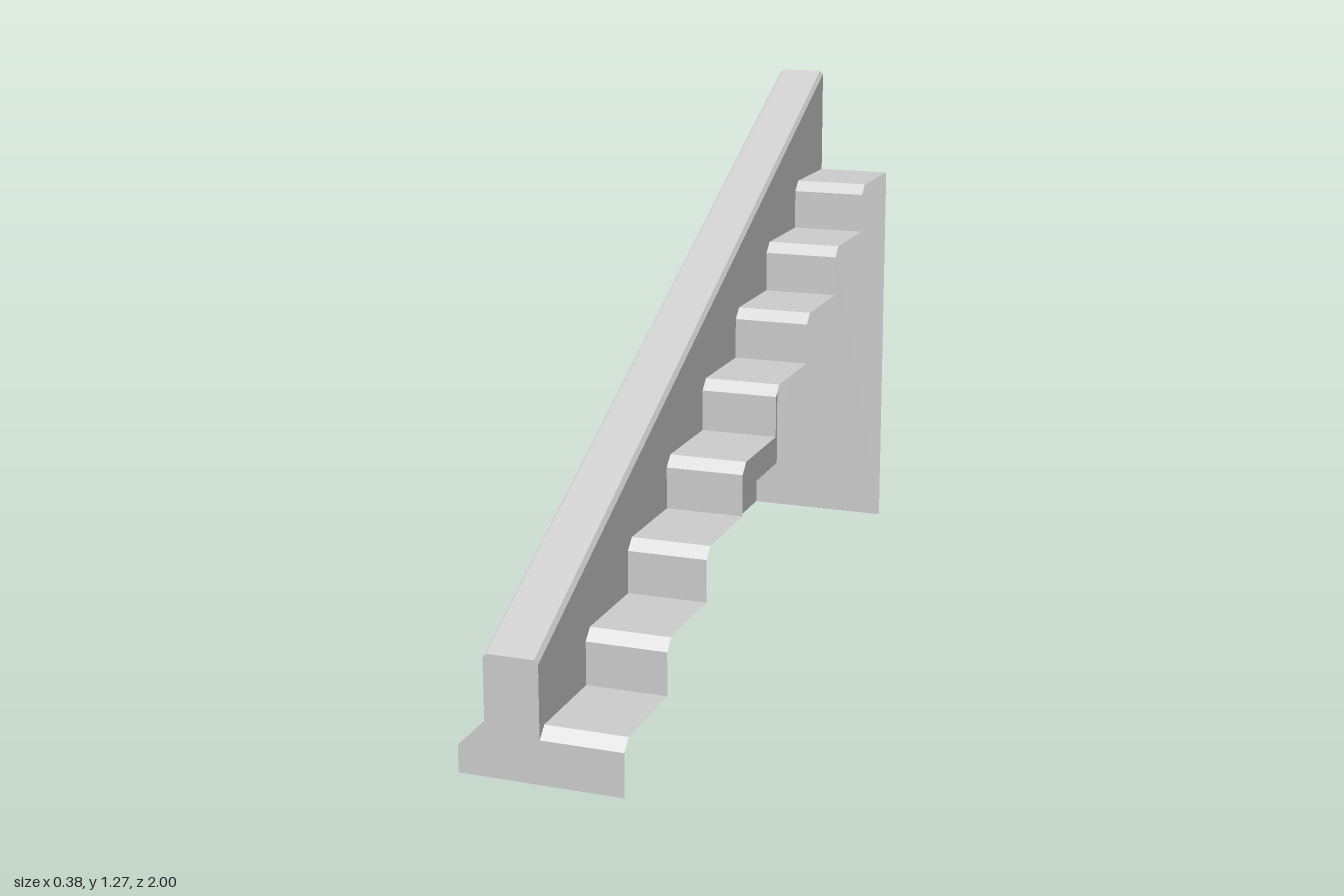
import * as THREE from 'three';

const material = new THREE.MeshStandardMaterial({ color: 0xcccccc, flatShading: true, side: THREE.DoubleSide });

const LEFT = -0.1875, WALL = -0.125, RIGHT = 0.1875;
const STEPS = 8, RUN = 0.25, RISE = 0.125, NOSE = 0.025;

function part(name, geometry) {
  const mesh = new THREE.Mesh(geometry, material);
  mesh.name = name;
  return mesh;
}

// Skin a list of cross-sections (each a list of [x, y, z]) with flat quads
function loft(rings, closed = false) {
  const pos = [];
  const n = rings[0].length;
  for (let i = 0; i < rings.length - 1; i++) {
    for (let j = 0; j < (closed ? n : n - 1); j++) {
      const k = (j + 1) % n;
      const a = rings[i][j], b = rings[i][k], c = rings[i + 1][j], d = rings[i + 1][k];
      pos.push(...a, ...b, ...c);
      if (c.some((v, m) => v !== d[m])) pos.push(...b, ...d, ...c);
    }
  }
  const geometry = new THREE.BufferGeometry();
  geometry.setAttribute('position', new THREE.Float32BufferAttribute(pos, 3));
  geometry.computeVertexNormals();
  return geometry;
}

// Plinth, outer face, sloping bevelled coping and inner face down to the stair line
function wallSection(z, notch) {
  const low = (1 - z) / 2;
  const top = low + 0.275;
  const bevel = 0.009;
  return [
    [LEFT + notch, 0], [LEFT + notch, 0.0625 + notch], [WALL, 0.125],
    [WALL, top - bevel], [WALL + bevel, top], [-bevel, top], [0, top - bevel], [0, low],
  ].map(([x, y]) => [x, y, z]);
}

function endPanel(points, z, flip) {
  const shape = new THREE.Shape(points.map(([x, y]) => new THREE.Vector2(flip ? -x : x, y)));
  const geometry = new THREE.ShapeGeometry(shape);
  if (flip) geometry.rotateY(Math.PI);
  return geometry.translate(0, 0, z);
}

// Raised stone: chamfered rectangle with a tapered rim and flat face
function stoneRing(x, w, h, c) {
  return [
    [w, -h + c], [w, h - c], [w - c, h], [-w + c, h],
    [-w, h - c], [-w, -h + c], [-w + c, -h], [w - c, -h],
  ].map(([z, y]) => [x, y, z]);
}

export function createModel() {
  const group = new THREE.Group();
  group.name = 'staircase';

  // Side wall, with a V notch in the plinth at z = +-0.5
  const stations = [[1, 0], [0.55, 0], [0.5, 0.02], [0.45, 0], [-0.45, 0], [-0.5, 0.02], [-0.55, 0], [-1, 0]];
  group.add(part('sideWall', loft(stations.map(([z, notch]) => wallSection(z, notch)))));

  // Steps with chamfered nosings
  const profile = [[0, 1]];
  for (let i = 0; i < STEPS; i++) {
    const z = 1 - i * RUN, y = (i + 1) * RISE;
    profile.push([y - NOSE, z], [y, z - NOSE], [y, z - RUN]);
  }
  group.add(part('steps', loft([RIGHT, 0].map((x) => profile.map(([y, z]) => [x, y, z])))));

  // End panels
  const outline = (z) => wallSection(z, 0).slice(0, 7).map(([x, y]) => [x, y]);
  group.add(part('frontPanel', endPanel([...outline(1), [0, 0]], 1, false)));
  group.add(part('backPanel', endPanel([...outline(-1), [0, 1], [RIGHT, 1], [RIGHT, 0]], -1, true)));

  // Raised stones on the outer face, as [z, y]
  const stones = [
    [-0.67, 0.84], [-0.76, 0.765], [0.01, 0.485], [0.49, 0.325], [0.575, 0.24],
    [-0.82, 0.415], [-0.67, 0.415], [-0.76, 0.34], [-0.37, 0.31], [-0.455, 0.23],
  ];
  const stone = loft([
    stoneRing(0, 0.075, 0.038, 0.015),
    stoneRing(-0.012, 0.072, 0.035, 0.014),
    stoneRing(-0.02, 0.063, 0.026, 0.01),
    Array(8).fill([-0.02, 0, 0]),
  ], true);
  for (const [z, y] of stones) {
    const mesh = part('wallStone', stone);
    mesh.position.set(WALL, y, z);
    group.add(mesh);
  }
  return group;
}
